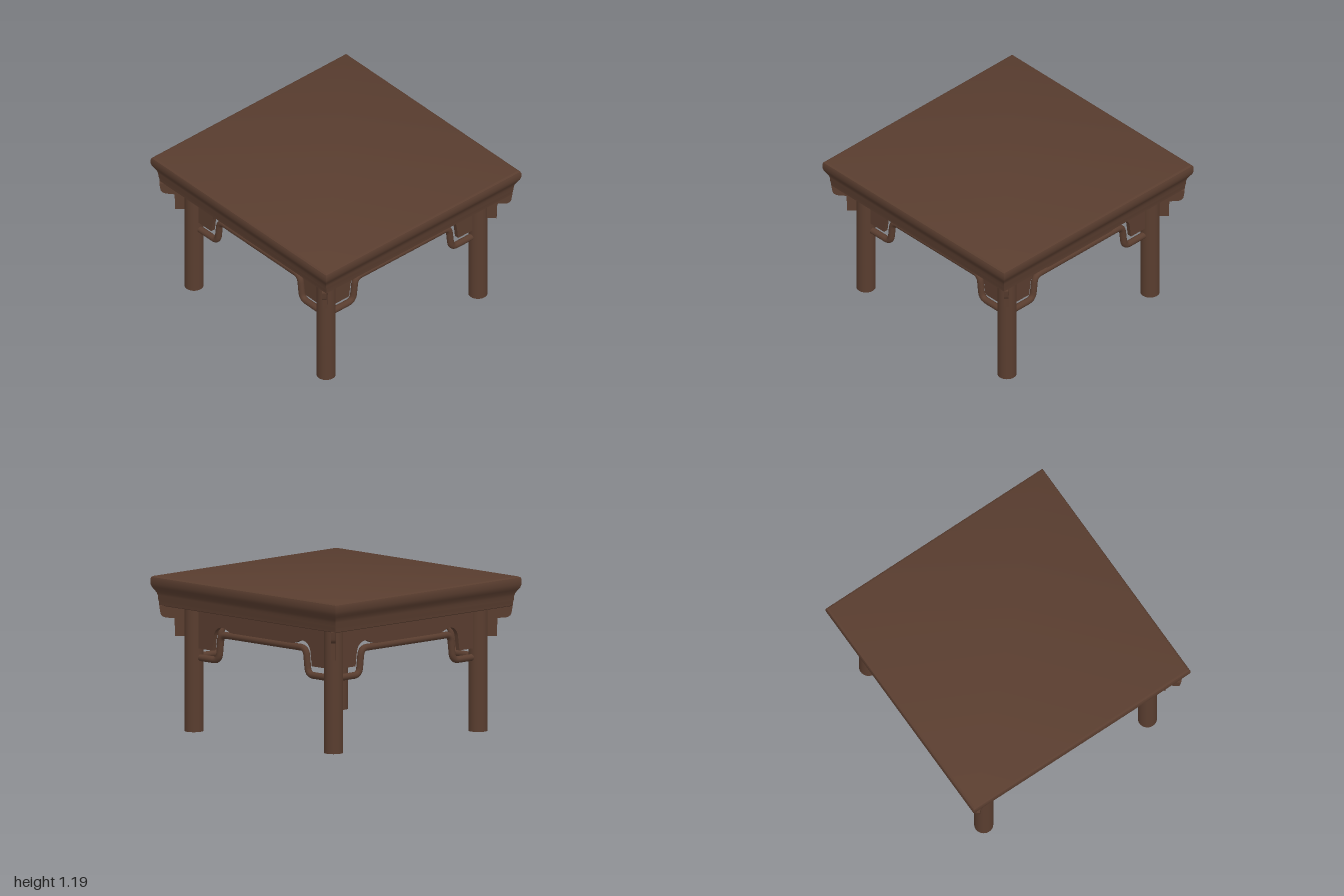
import * as THREE from 'three';
import { toCreasedNormals } from 'three/addons/utils/BufferGeometryUtils.js';

const LEG_X = 0.754, LEG_Z = 0.771, LEG_R = 0.073, UNDER = 0.96;

// Square moulded slab: a four-sided lathe of the edge profile
function topGeometry() {
  const edge = [
    [0, 0.96], [0.946, 0.96], [0.952, 0.965], [0.954, 0.99], [0.958, 1.01], [0.96, 1.04],
    [0.966, 1.06], [0.98, 1.085], [0.993, 1.105], [1, 1.13], [1, 1.165], [0.995, 1.18],
    [0.98, 1.188], [0, 1.188],
  ];
  const points = edge.map(([r, y]) => new THREE.Vector2(r * Math.SQRT2, y));
  const geo = new THREE.LatheGeometry(points, 4, Math.PI / 4);
  geo.scale(1, 1, 0.993);
  return toCreasedNormals(geo, 0.6);
}

function extrude(shape, depth) {
  const geo = new THREE.ExtrudeGeometry(shape, { depth, bevelEnabled: false, curveSegments: 8 });
  geo.translate(0, 0, -depth / 2);
  return toCreasedNormals(geo, 0.6);
}

// Apron board with dropped ends and arched shoulders; h is half the leg spacing
function apronGeometry(h) {
  const s = new THREE.Shape();
  const k = h - 0.754;
  s.moveTo(-h, 0.965);
  s.lineTo(-h, 0.642);
  s.lineTo(-0.537 - k, 0.642);
  s.lineTo(-0.522 - k, 0.755);
  s.bezierCurveTo(-0.51 - k, 0.81, -0.47 - k, 0.83, -0.43 - k, 0.829);
  s.bezierCurveTo(-0.39 - k, 0.828, -0.37 - k, 0.8, -0.32 - k, 0.797);
  s.lineTo(0.32 + k, 0.797);
  s.bezierCurveTo(0.37 + k, 0.8, 0.39 + k, 0.828, 0.43 + k, 0.829);
  s.bezierCurveTo(0.47 + k, 0.83, 0.51 + k, 0.81, 0.522 + k, 0.755);
  s.lineTo(0.537 + k, 0.642);
  s.lineTo(h, 0.642);
  s.lineTo(h, 0.965);
  return extrude(s, 0.036);
}

// Round hump-backed rail: straight runs joined by rounded bends
function railGeometry(h) {
  const k = h - 0.754;
  const half = [[-h, 0.57], [-0.482 - k, 0.57], [-0.458 - k, 0.772]];
  const corners = [...half, ...half.slice().reverse().map(([x, y]) => [-x, y])]
    .map(([x, y]) => new THREE.Vector3(x, y, 0));
  const path = new THREE.CurvePath();
  let last = corners[0];
  for (let i = 1; i < corners.length - 1; i++) {
    const c = corners[i];
    const toward = (p) => c.clone().add(p.clone().sub(c).setLength(0.055));
    const a = toward(corners[i - 1]), b = toward(corners[i + 1]);
    path.add(new THREE.LineCurve3(last, a));
    path.add(new THREE.QuadraticBezierCurve3(a, c, b));
    last = b;
  }
  path.add(new THREE.LineCurve3(last, corners[corners.length - 1]));
  return new THREE.TubeGeometry(path, 140, 0.026, 14, false);
}

// Stepped bracket running out along the corner diagonal
function bracketGeometry() {
  const s = new THREE.Shape();
  const at = (x) => (x - LEG_X) * Math.SQRT2;
  s.moveTo(0, 0.73);
  s.lineTo(at(0.855), 0.73);
  s.lineTo(at(0.858), 0.868);
  s.lineTo(at(0.9), 0.872);
  s.quadraticCurveTo(at(0.93), 0.878, at(0.934), 0.91);
  s.lineTo(at(0.94), 0.965);
  s.lineTo(0, 0.965);
  return extrude(s, 0.035);
}

export function createModel() {
  const table = new THREE.Group();
  table.name = 'table';
  const wood = new THREE.MeshStandardMaterial({ color: 0x593d2f });
  wood.name = 'dark brown wood';

  const add = (parent, name, geo) => {
    const mesh = new THREE.Mesh(geo, wood);
    mesh.name = name;
    parent.add(mesh);
    return mesh;
  };

  add(table, 'tableTop', topGeometry());

  // Legs with corner brackets
  const legGeo = new THREE.CylinderGeometry(LEG_R, LEG_R, UNDER, 32);
  const bracketGeo = bracketGeometry();
  for (const sx of [-1, 1]) {
    for (const sz of [-1, 1]) {
      const corner = new THREE.Group();
      corner.name = (sz > 0 ? 'front' : 'back') + (sx > 0 ? 'Left' : 'Right') + 'Corner';
      corner.position.set(sx * LEG_X, 0, sz * LEG_Z);
      corner.rotation.y = -Math.atan2(sz, sx);
      add(corner, 'leg', legGeo).position.y = UNDER / 2;
      add(corner, 'cornerBracket', bracketGeo);
      table.add(corner);
    }
  }

  // Apron and rail on each of the four sides
  ['front', 'left', 'back', 'right'].forEach((name, i) => {
    const h = i % 2 ? LEG_Z : LEG_X;
    const side = new THREE.Group();
    side.name = name + 'Side';
    side.rotation.y = (i * Math.PI) / 2;
    add(side, 'apron', apronGeometry(h)).position.z = i % 2 ? LEG_X : LEG_Z;
    add(side, 'humpRail', railGeometry(h)).position.z = i % 2 ? LEG_X : LEG_Z;
    table.add(side);
  });

  return table;
}
